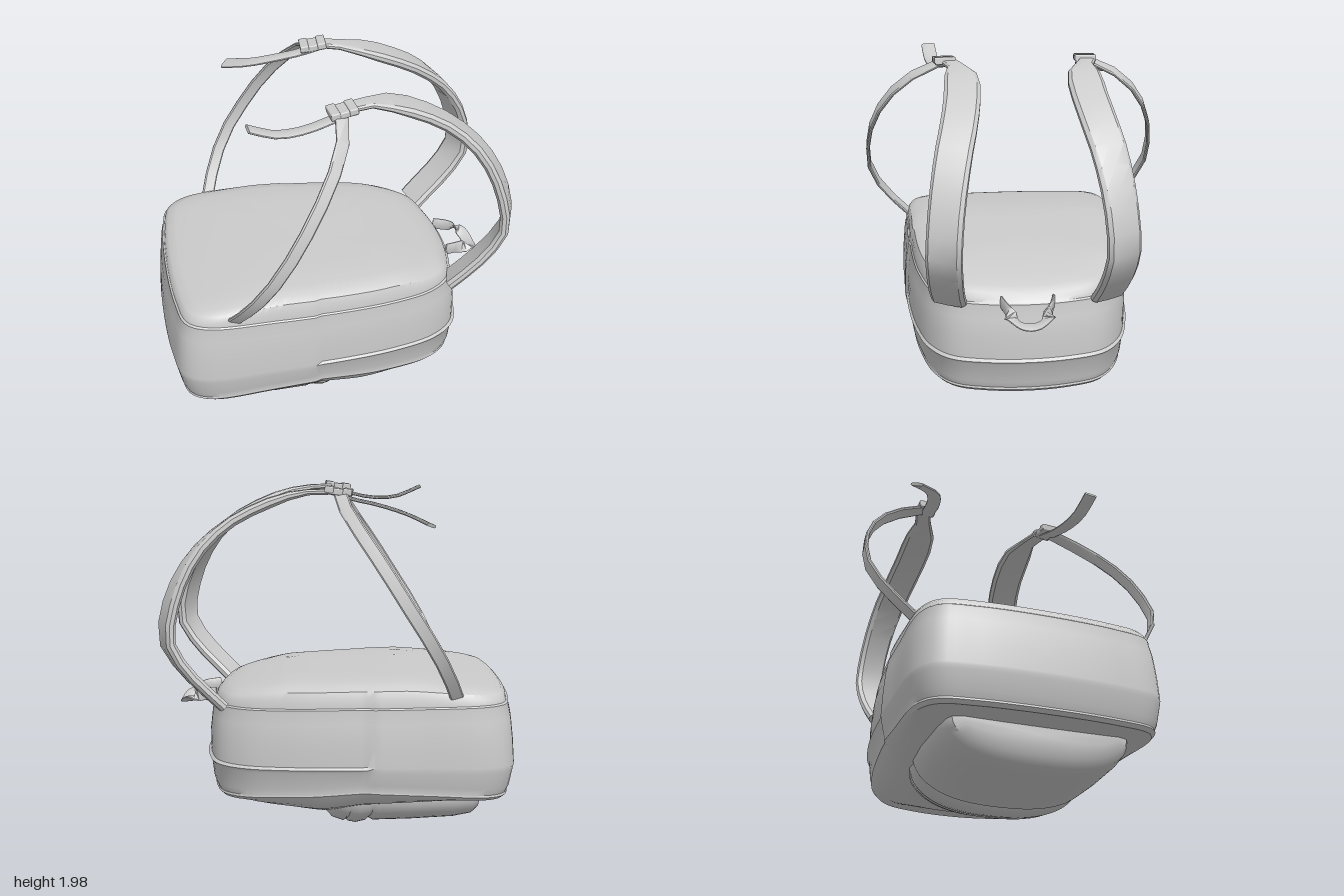
import * as THREE from 'three';
import { toCreasedNormals } from 'three/addons/utils/BufferGeometryUtils.js';
import { RoundedBoxGeometry } from 'three/addons/geometries/RoundedBoxGeometry.js';

const V = (x, y, z) => new THREE.Vector3(x, y, z);
const material = new THREE.MeshStandardMaterial({ color: 0xcccccc, roughness: 0.8, side: THREE.DoubleSide });
const { lerp, smoothstep } = THREE.MathUtils;

// Softened piecewise height along x, from [x, value] pairs
function ramp(pairs) {
  return (x) => {
    if (x <= pairs[0][0]) return pairs[0][1];
    for (let i = 1; i < pairs.length; i++) {
      const [x0, a] = pairs[i - 1], [x1, b] = pairs[i];
      if (x <= x1) return lerp(a, b, smoothstep(x, x0, x1) * 0.4 + ((x - x0) / (x1 - x0)) * 0.6);
    }
    return pairs[pairs.length - 1][1];
  };
}

// Closed skin over a row of rings, capped at both ends and always facing outward
function loft(name, rings, crease = 0.65) {
  const n = rings[0].length, pts = rings.flat(), index = [];
  for (let r = 0; r < rings.length - 1; r++) {
    for (let i = 0; i < n; i++) {
      const a = r * n + i, b = r * n + (i + 1) % n;
      index.push(a, b, b + n, a, b + n, a + n);
    }
  }
  for (const r of [0, rings.length - 1]) {
    const centre = rings[r].reduce((s, p) => s.add(p), V(0, 0, 0)).divideScalar(n);
    pts.push(centre);
    for (let i = 0; i < n; i++) {
      const a = r * n + i, b = r * n + (i + 1) % n, c = pts.length - 1;
      if (r === 0) index.push(c, b, a); else index.push(c, a, b);
    }
  }
  let volume = 0;
  for (let i = 0; i < index.length; i += 3) {
    volume += pts[index[i]].dot(V(0, 0, 0).crossVectors(pts[index[i + 1]], pts[index[i + 2]]));
  }
  if (volume < 0) index.reverse();
  const geometry = new THREE.BufferGeometry().setFromPoints(pts);
  geometry.setIndex(index);
  const mesh = new THREE.Mesh(toCreasedNormals(geometry, crease), material);
  mesh.name = name;
  return mesh;
}

// Strap swept along a curve; across(t, tangent) gives the direction of its width
function strap(name, points, width, thickness, across, steps) {
  const curve = new THREE.CatmullRomCurve3(points);
  const section = [[0.5, 0.2], [0.4, 0.5], [0, 0.55], [-0.4, 0.5], [-0.5, 0.2], [-0.5, -0.2], [-0.4, -0.5], [0.4, -0.5], [0.5, -0.2]];
  const rings = [];
  for (let i = 0; i <= steps; i++) {
    const t = i / steps, p = curve.getPointAt(t), tangent = curve.getTangentAt(t);
    const side = across(t, tangent).clone();
    side.addScaledVector(tangent, -side.dot(tangent)).normalize();
    const normal = V(0, 0, 0).crossVectors(tangent, side);
    rings.push(section.map(([u, v]) => p.clone().addScaledVector(side, u * width(t)).addScaledVector(normal, v * thickness(t))));
  }
  return loft(name, rings, 0.6);
}

function createBody() {
  const half = [[-0.98, 0.4], [-0.935, 0.6], [-0.82, 0.67], [-0.4, 0.675], [0, 0.66], [0.3, 0.62], [0.55, 0.545], [0.69, 0.43], [0.75, 0.25]];
  const loop = [[-1, 0], ...half, [0.775, 0], ...half.slice().reverse().map(([x, z]) => [x, -z])];
  const outline = new THREE.CatmullRomCurve3(loop.map(([x, z]) => V(x, 0, z)), true).getSpacedPoints(140).slice(0, 140);

  const lowSeam = ramp([[-1, 0.29], [-0.5, 0.31], [-0.15, 0.32], [0.2, 0.29], [0.75, 0.25]]);
  const highSeam = ramp([[-0.95, 0.81], [-0.15, 0.79], [0.75, 0.76]]);
  const belly = ramp([[-0.95, 0.27], [-0.75, 0.23], [-0.2, 0.17], [0.1, 0.12], [0.45, 0.155], [0.72, 0.24]]);
  const crown = ramp([[-0.92, 0.885], [-0.35, 0.94], [0.3, 0.915], [0.62, 0.86], [0.75, 0.81]]);
  const ledge = ramp([[-0.15, 0.47], [0.75, 0.445]]);

  const rings = [];
  const ring = (scale, height) => rings.push(outline.map((p) => {
    // the side panels are fuller behind the vertical seam
    const s = typeof scale === 'function' ? scale(p.x) : scale;
    const x = -0.1 + (p.x + 0.1) * s;
    return V(x, height(x), p.z * s * (p.x < -0.15 ? 1.009 : 0.992) - 0.012);
  }));
  // Domed front face
  for (const s of [0.2, 0.45, 0.65, 0.8, 0.89]) {
    ring(s, (x) => lerp(lowSeam(x), belly(x), 1 - Math.pow(s, 4)));
  }
  ring(0.94, (x) => lowSeam(x) - 0.02);
  // Seam and side wall with a flap ledge round the narrow end
  ring(0.962, lowSeam);
  ring(0.958, (x) => lowSeam(x) + 0.012);
  ring(0.975, (x) => lowSeam(x) + 0.05);
  const front = (a, b) => (x) => (x > -0.15 ? a : b);
  ring(front(0.99, 0.996), (x) => ledge(x) - 0.03);
  ring(front(1.008, 1), (x) => ledge(x) - 0.01);
  ring(front(0.99, 1), (x) => ledge(x) + 0.004);
  ring(0.99, (x) => lerp(ledge(x), highSeam(x), 0.4));
  ring(0.975, (x) => lerp(ledge(x), highSeam(x), 0.75));
  ring(0.957, (x) => highSeam(x) - 0.012);
  ring(0.957, highSeam);
  ring(0.945, (x) => highSeam(x) + 0.008);
  // Padded back panel
  for (const [s, t] of [[0.938, 0.4], [0.915, 0.68], [0.86, 0.85], [0.76, 0.94], [0.55, 0.99], [0.3, 1], [0.1, 1]]) {
    ring(s, (x) => lerp(highSeam(x), crown(x), t));
  }
  return loft('bagBody', rings, 0.6);
}

// Front pocket with a ridged roll along its upper edge: [x, half width, lowest y]
function createPocket() {
  const sections = [[-0.8, 0.43, 0.19], [-0.785, 0.48, 0.11], [-0.75, 0.5, 0.07], [-0.65, 0.515, 0.05], [-0.4, 0.525, 0.035],
    [-0.17, 0.515, 0.025], [-0.14, 0.505, 0.045], [-0.12, 0.505, 0.02], [-0.07, 0.505, 0.005], [-0.03, 0.495, 0.012], [-0.015, 0.49, 0.028],
    [0, 0.49, 0.015], [0.06, 0.47, 0.035], [0.1, 0.44, 0.08], [0.115, 0.4, 0.13], [0.11, 0.34, 0.19]];
  const rings = sections.map(([x, w, low]) => {
    const ring = [];
    for (let i = 0; i <= 28; i++) {
      const a = (i / 28) * Math.PI, c = Math.cos(a);
      const bow = x > -0.2 ? -0.05 * c * c : 0;
      ring.push(V(x + bow, 0.27 - (0.27 - low) * Math.pow(Math.sin(a), 0.82), w * Math.sign(c) * Math.pow(Math.abs(c), 0.8)));
    }
    return ring;
  });
  return loft('frontPocket', rings, 0.7);
}

// Shoulder strap, buckle and lower webbing on one side (side = 1 or -1)
function createHarness(side) {
  const group = new THREE.Group();
  group.name = side > 0 ? 'leftHarness' : 'rightHarness';
  const path = (list) => list.map(([x, y, z]) => V(x, y, side * z));
  const zAxis = V(0, 0, 1);

  // The padded strap turns outward towards its lower end
  const pad = strap('shoulderStrap', path([[0.66, 0.77, 0.435], [0.75, 0.86, 0.45], [0.87, 0.99, 0.46], [0.955, 1.14, 0.465], [0.92, 1.38, 0.445],
    [0.8, 1.61, 0.405], [0.63, 1.77, 0.36], [0.42, 1.88, 0.335], [0.22, 1.945, 0.345], [0.06, 1.955, 0.39]]),
  (t) => lerp(0.195, 0.09, smoothstep(t, 0.84, 0.96)),
  (t) => lerp(0.055, 0.03, smoothstep(t, 0.8, 0.95)),
  (t) => V(-0.42 * side * (1 - smoothstep(t, 0.35, 0.75)), 0, 1), 16);
  pad.position.z = -0.02;

  const webbing = strap('lowerWebbing', path([[0, 1.94, 0.43], [-0.02, 1.88, 0.56], [-0.09, 1.77, 0.69], [-0.22, 1.58, 0.81], [-0.36, 1.36, 0.862],
    [-0.48, 1.17, 0.85], [-0.57, 1, 0.76], [-0.64, 0.83, 0.62]]),
  () => 0.075, () => 0.02, (t, tangent) => V(0, 0, 0).crossVectors(tangent, zAxis), 9);

  // Loose webbing end: one side lifts, the other hangs
  const tailPoints = side > 0
    ? [[0.06, 1.95, 0.4], [-0.06, 1.915, 0.42], [-0.2, 1.885, 0.44], [-0.35, 1.89, 0.465], [-0.5, 1.95, 0.48]]
    : [[0.06, 1.95, 0.39], [-0.06, 1.915, 0.4], [-0.2, 1.885, 0.42], [-0.35, 1.84, 0.48], [-0.48, 1.785, 0.61]];
  const tail = strap('webbingTail', path(tailPoints), () => 0.08, () => 0.018, () => zAxis, 8);

  // Flat buckle with a raised bar at each end
  const buckle = new THREE.Group();
  buckle.name = 'buckle';
  for (const [x, y, w, h, d] of [[0, 0, 0.15, 0.036, 0.11], [-0.05, 0.006, 0.05, 0.036, 0.12], [0.05, 0.006, 0.05, 0.036, 0.12]]) {
    const bar = new THREE.Mesh(new RoundedBoxGeometry(w, h, d, 2, 0.007), material);
    bar.name = 'bucklePlate';
    bar.position.set(x, y, 0);
    buckle.add(bar);
  }
  buckle.position.set(0.01, 1.955, side * 0.4);
  buckle.rotation.set(0, side * 0.08, 0.14);

  group.add(pad, webbing, tail, buckle);
  return group;
}

export function createModel() {
  const model = new THREE.Group();
  model.name = 'backpack';
  model.add(createBody(), createPocket(), createHarness(1), createHarness(-1));

  // Drooping carry handle, upright at its ends and flat at the grip
  model.add(strap('carryHandle', [V(0.72, 0.775, 0.135), V(0.81, 0.765, 0.11), V(0.88, 0.74, 0.085), V(0.905, 0.715, 0.045), V(0.91, 0.705, -0.008),
    V(0.905, 0.715, -0.06), V(0.88, 0.74, -0.1), V(0.81, 0.765, -0.125), V(0.72, 0.775, -0.15)],
  () => 0.075, () => 0.014, (t) => {
    const grip = smoothstep(Math.sin(Math.PI * t), 0.3, 0.95);
    return V(grip, lerp(-1, -0.1, grip), 0);
  }, 24));
  return model;
}
